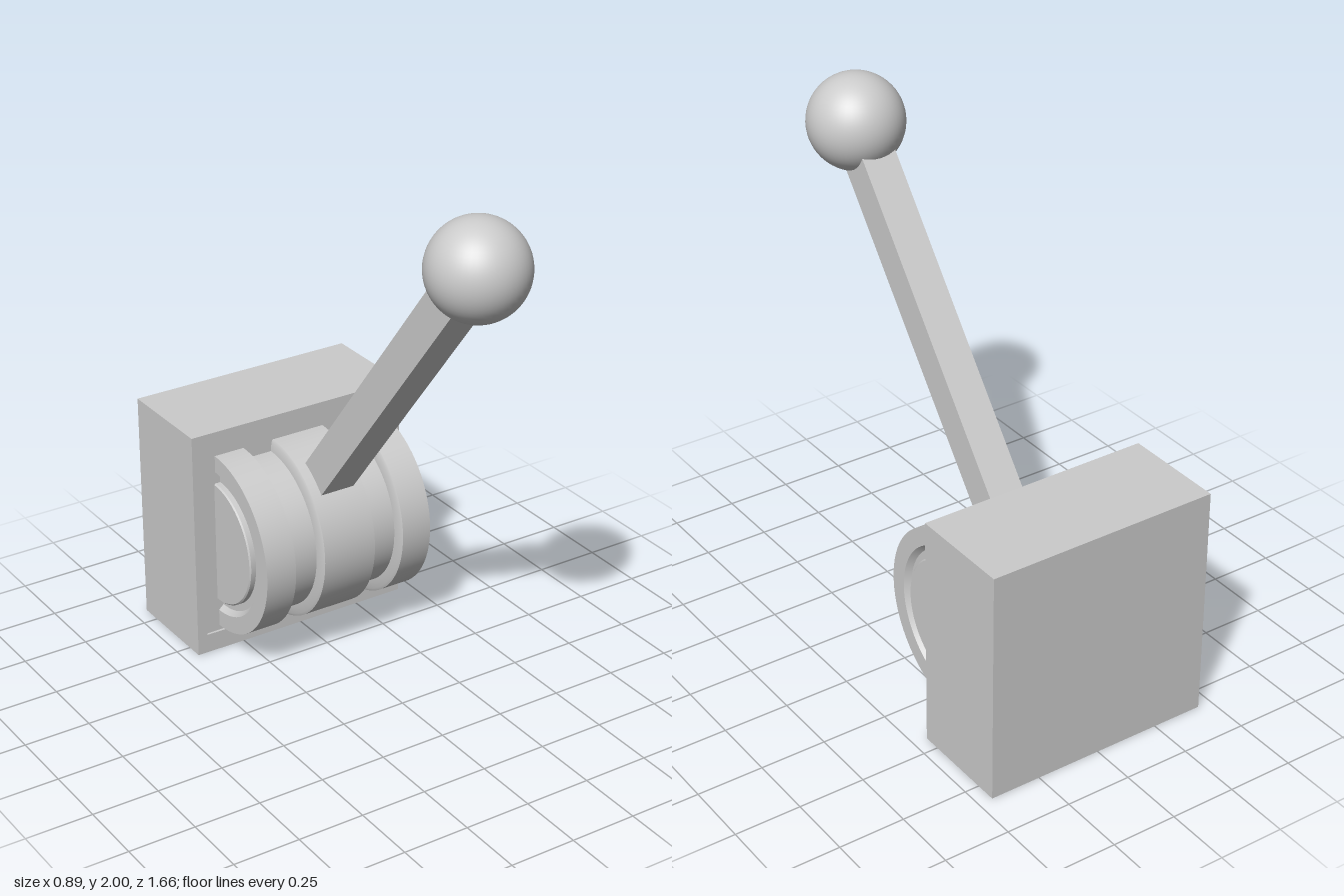
import * as THREE from 'three';
import { toCreasedNormals } from 'three/addons/utils/BufferGeometryUtils.js';

const CY = 0.447, FRONT = -0.435, BACK = -0.83;

export function createModel() {
  const group = new THREE.Group();
  const material = new THREE.MeshStandardMaterial({ color: 0xcccccc });
  const doubleSided = new THREE.MeshStandardMaterial({ color: 0xcccccc, side: THREE.DoubleSide });

  const add = (name, geometry, mat = material) => {
    const mesh = new THREE.Mesh(geometry, mat);
    mesh.name = name;
    group.add(mesh);
    return mesh;
  };

  // Wall box, with a thin rim around a slightly sunken front panel
  const lip = 0.01, half = 0.445, inner = 0.405, innerY = 0.373;
  const depth = FRONT - lip - BACK;
  add('wallBox', new THREE.BoxGeometry(half * 2, CY * 2, depth))
    .position.set(0, CY, BACK + depth / 2);

  const rim = new THREE.Shape([[-half, -CY], [half, -CY], [half, CY], [-half, CY]]
    .map(([x, y]) => new THREE.Vector2(x, y)));
  rim.holes.push(new THREE.Path([[-inner, -innerY], [-inner, innerY], [inner, innerY], [inner, -innerY]]
    .map(([x, y]) => new THREE.Vector2(x, y))));
  add('frontRim', new THREE.ExtrudeGeometry(rim, { depth: lip, bevelEnabled: false }))
    .position.set(0, CY, FRONT - lip);

  // Half drum: mirrored profile of [radius, distance along the axis]
  const side = [
    [0.35, 0.107], [0.34, 0.112], [0.305, 0.115],
    [0.305, 0.222], [0.34, 0.225], [0.35, 0.23],
    [0.35, 0.35], [0.285, 0.35], [0.268, 0.33], [0.24, 0.33],
    [0.24, 0.35], [0.235, 0.355], [0, 0.355],
  ];
  const profile = [
    ...side.map(([r, x]) => new THREE.Vector2(r, -x)).reverse(),
    ...side.map(([r, x]) => new THREE.Vector2(r, x)),
  ];
  const drum = new THREE.LatheGeometry(profile, 48, -Math.PI / 2, Math.PI);
  drum.rotateZ(-Math.PI / 2);
  add('drum', toCreasedNormals(drum, 0.4), doubleSided).position.set(0, CY, -0.44);

  // Lever arm and ball knob, radiating from the drum axis
  const pivot = new THREE.Vector3(0, CY, -0.44);
  const knobCentre = new THREE.Vector3(0, 1.823, 0.652);
  const direction = knobCentre.clone().sub(pivot).normalize();
  const start = 0.25, end = 1.7;
  const arm = add('leverArm', new THREE.BoxGeometry(0.136, end - start, 0.136));
  arm.position.copy(pivot).addScaledVector(direction, (start + end) / 2);
  arm.rotation.x = Math.atan2(direction.z, direction.y);

  add('knob', new THREE.SphereGeometry(0.177, 48, 32)).position.copy(knobCentre);

  return group;
}
